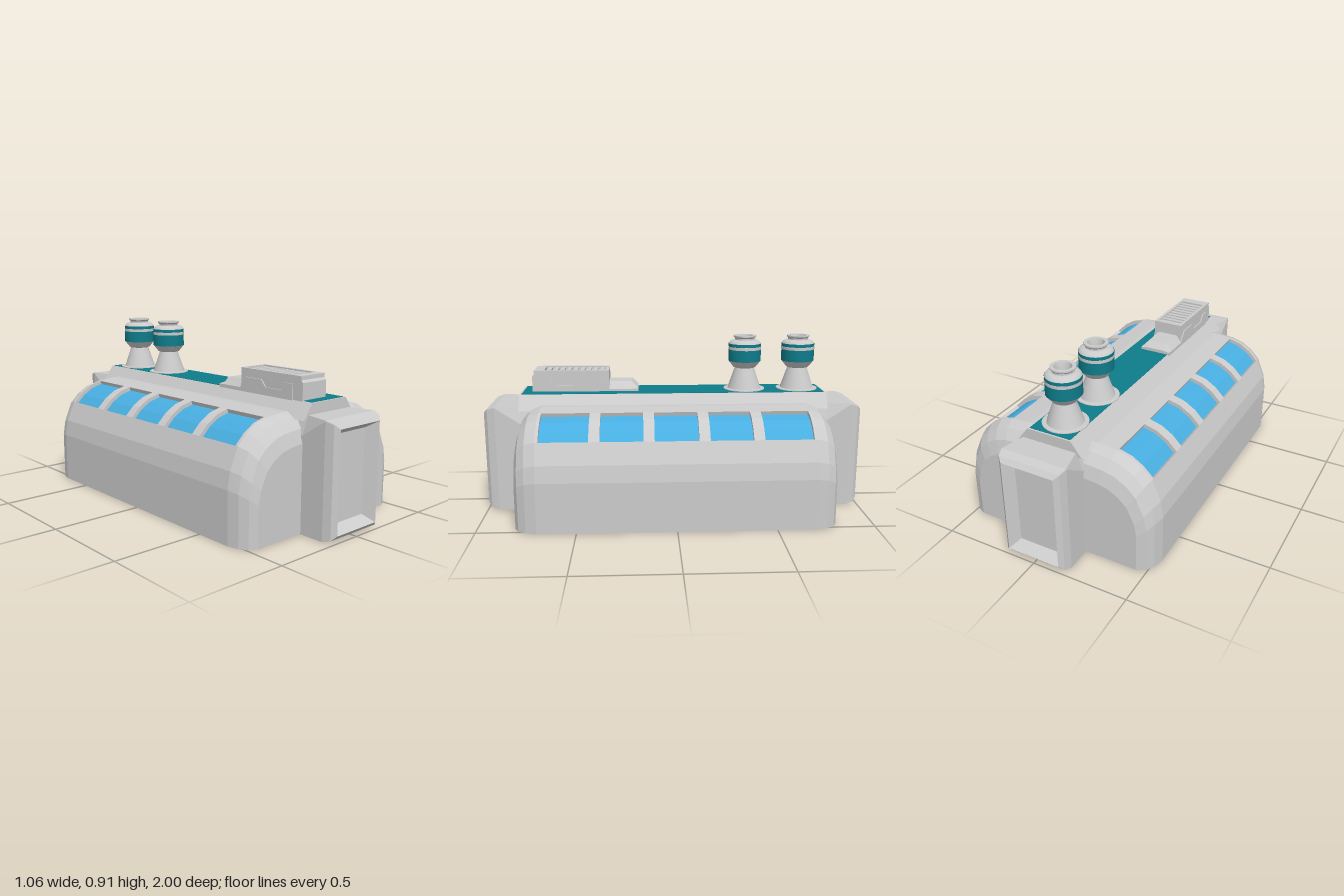
import * as THREE from 'three';
import { toCreasedNormals } from 'three/addons/utils/BufferGeometryUtils.js';

const GREY = 0xcccccc, TEAL = 0x0e7c8a, BLUE = 0x48aee0;

const material = (color, flatShading = false, side = THREE.FrontSide) =>
  new THREE.MeshStandardMaterial({ color, flatShading, side });

function add(parent, name, geometry, mat, x = 0, y = 0, z = 0) {
  const mesh = new THREE.Mesh(geometry, mat);
  mesh.name = name;
  mesh.position.set(x, y, z);
  parent.add(mesh);
  return mesh;
}

// Flat-faced geometry from a list of four-cornered faces
function quadGeometry(quads) {
  const pos = [];
  for (const [a, b, c, d] of quads) pos.push(...a, ...b, ...c, ...a, ...c, ...d);
  const g = new THREE.BufferGeometry();
  g.setAttribute('position', new THREE.Float32BufferAttribute(pos, 3));
  g.computeVertexNormals();
  return g;
}

// Skin closed rings (counter-clockwise seen from +z, rising z) and cap both ends
function loft(rings, skip = () => false) {
  const quads = [], n = rings[0].length;
  for (let k = 0; k < rings.length - 1; k++)
    for (let i = 0; i < n; i++) {
      const j = (i + 1) % n;
      if (!skip(i, k)) quads.push([rings[k][i], rings[k][j], rings[k + 1][j], rings[k + 1][i]]);
    }
  const first = rings[0], last = rings[rings.length - 1];
  for (let i = 0; i < n / 2 - 1; i++) {
    const m = n - 1 - i;
    quads.push([last[i], last[i + 1], last[m - 1], last[m]]);
    quads.push([first[m], first[m - 1], first[i + 1], first[i]]);
  }
  return quadGeometry(quads);
}

// Extrude a (z, y) outline across x, centred on x = 0
function sideExtrude(points, width) {
  const shape = new THREE.Shape(points.map(([z, y]) => new THREE.Vector2(-z, y)));
  const g = new THREE.ExtrudeGeometry(shape, { depth: width, bevelEnabled: false });
  return g.translate(0, 0, -width / 2).rotateY(Math.PI / 2);
}

// Arched hull with rounded ends and recessed windows
function buildHull() {
  const hull = new THREE.Group();
  hull.name = 'hull';
  const half = [[.53, 0], [.53, .26], [.515, .345], [.47, .45], [.42, .5], [.36, .537], [.295, .555], [.19, .565]];
  const arch = [...half, ...half.map(([x, y]) => [-x, y]).reverse()];
  const windows = [[-.68, -.435], [-.38, -.165], [-.11, .11], [.165, .38], [.435, .68]];
  const ends = [[.695, 0, 0], [.75, .015, .02], [.79, .04, .065], [.81, .08, .13]];
  const rows = [
    ...ends.map(([z, dx, dy]) => [-z, dx, dy]).reverse(),
    ...windows.flat().map(z => [z, 0, 0]),
    ...ends];
  const rings = rows.map(([z, dx, dy]) => arch.map(([x, y]) => [x * (1 - dx / .53), y * (1 - dy / .565), z]));
  const isWindow = (i, k) =>
    ((i >= 3 && i <= 5) || (i >= 9 && i <= 11)) && k >= 4 && k <= 12 && k % 2 === 0;
  add(hull, 'hullShell', loft(rings, isWindow), material(GREY, true));

  const sink = ([x, y, z]) => {
    const dx = Math.sign(x) * .2 - x, dy = .25 - y, s = .02 / Math.hypot(dx, dy);
    return [x + dx * s, y + dy * s, z];
  };
  const panes = [], reveals = [];
  for (let k = 4; k <= 12; k += 2)
    for (const start of [3, 9]) {
      for (let i = start; i < start + 3; i++) {
        const c = [rings[k][i], rings[k][i + 1], rings[k + 1][i + 1], rings[k + 1][i]];
        const s = c.map(sink);
        panes.push(s);
        reveals.push([c[0], c[1], s[1], s[0]], [c[2], c[3], s[3], s[2]]);
      }
      for (const i of [start, start + 3]) {
        const a = rings[k][i], b = rings[k + 1][i];
        reveals.push([a, b, sink(b), sink(a)]);
      }
    }
  add(hull, 'windowPanes', quadGeometry(panes), material(BLUE, true));
  add(hull, 'windowReveals', quadGeometry(reveals), material(GREY, true, THREE.DoubleSide));
  return hull;
}

// Central spine: end blocks with recessed doors, raised ridge and coloured walkway
function buildSpine() {
  const spine = new THREE.Group();
  spine.name = 'spine';
  // d shrinks the whole section, c cuts its top corners
  const section = (z, d, c) => {
    const w = .175 - d, top = .563 - d, t = w - c * .35;
    return [[w, d, z], [w, top - c, z], [t, top, z], [-t, top, z], [-w, top - c, z], [-w, d, z]];
  };
  const end = [[.81, 0, .09], [.94, 0, .004], [.98, .012, .004], [1, .035, .003], [.945, .07, .002]];
  const rows = [...end.map(([z, d, c]) => [-z, d, c]).reverse(), ...end];
  add(spine, 'spineBlocks', loft(rows.map(r => section(...r))), material(GREY, true));

  const ridge = (z, y0, y1) => [[.175, y0, z], [.118, y1, z], [-.118, y1, z], [-.175, y0, z]];
  const slope = [-1, 1].map(s => ridge(s * .815, .54, .616));
  add(spine, 'ridge', loft(slope), material(GREY, true));
  add(spine, 'walkway', new THREE.BoxGeometry(.222, .004, 1.61), material(TEAL), 0, .616, 0);
  return spine;
}

// Chimney with flared foot, banded drum and hollow lip
function buildChimney(z) {
  const chimney = new THREE.Group();
  chimney.name = 'chimney';
  chimney.position.set(-.006, 0, z);
  const turn = (name, pts, color) => add(chimney, name,
    toCreasedNormals(new THREE.LatheGeometry(pts.map(p => new THREE.Vector2(...p)), 24), .5),
    material(color, false, THREE.DoubleSide));
  turn('foot', [[.112, .615], [.112, .622], [.09, .624], [.052, .735], [.06, .738], [.087, .772]], GREY);
  turn('lowerBand', [[.08, .77], [.088, .772], [.088, .834], [.084, .834]], TEAL);
  turn('middleBand', [[.084, .834], [.089, .834], [.089, .85], [.084, .85]], GREY);
  turn('upperBand', [[.084, .85], [.088, .85], [.088, .866], [.084, .867]], TEAL);
  turn('cap', [[.087, .866], [.08, .877], [.068, .884], [.053, .886], [.053, .894], [.061, .902], [.061, .909],
    [.043, .909], [.036, .88], [.034, .84], [0, .84]], GREY);
  return chimney;
}

// Roof ventilation unit with louvres, side plates and a low tail
function buildVent() {
  const vent = new THREE.Group();
  vent.name = 'ventUnit';
  vent.position.x = -.038;
  const grey = material(GREY, true);
  add(vent, 'ventBody', sideExtrude([[.755, .612], [.755, .7], [.745, .712], [.345, .712], [.345, .612]], .163), grey);

  // Open top frame around the louvres
  const rect = (T, w, z0, z1) => new T([[-w, -z1], [w, -z1], [w, -z0], [-w, -z0]].map(p => new THREE.Vector2(...p)));
  const frame = rect(THREE.Shape, .082, .345, .745);
  frame.holes.push(rect(THREE.Path, .066, .362, .692));
  add(vent, 'ventFrame',
    new THREE.ExtrudeGeometry(frame, { depth: .02, bevelEnabled: false }).rotateX(-Math.PI / 2), grey, 0, .711, 0);
  for (let i = 0; i < 9; i++)
    add(vent, 'louvre', new THREE.BoxGeometry(.134, .014, .022), grey, 0, .718, .383 + i * .036);

  // Stepped plates on both sides
  const plate = [[.695, .612], [.695, .69], [.65, .69], [.625, .652], [.52, .652], [.49, .687], [.385, .687],
    [.36, .66], [.345, .635], [.345, .612]];
  for (const s of [-1, 1]) add(vent, 'sidePlate', sideExtrude(plate, .008), grey, s * .0835, 0, 0);

  // Low tail, chamfered towards its top
  const tail = (z, y, w) => [[.087, .612, z], [.087, .63, z], [w, y, z], [-w, y, z], [-.087, .63, z], [-.087, .612, z]];
  add(vent, 'ventTail', loft([tail(.188, .636, .045), tail(.22, .665, .055), tail(.35, .668, .055)]), grey);
  return vent;
}

export function createModel() {
  const model = new THREE.Group();
  model.name = 'habitatModule';
  model.add(buildHull(), buildSpine(), buildChimney(-.39), buildChimney(-.68), buildVent());
  return model;
}
